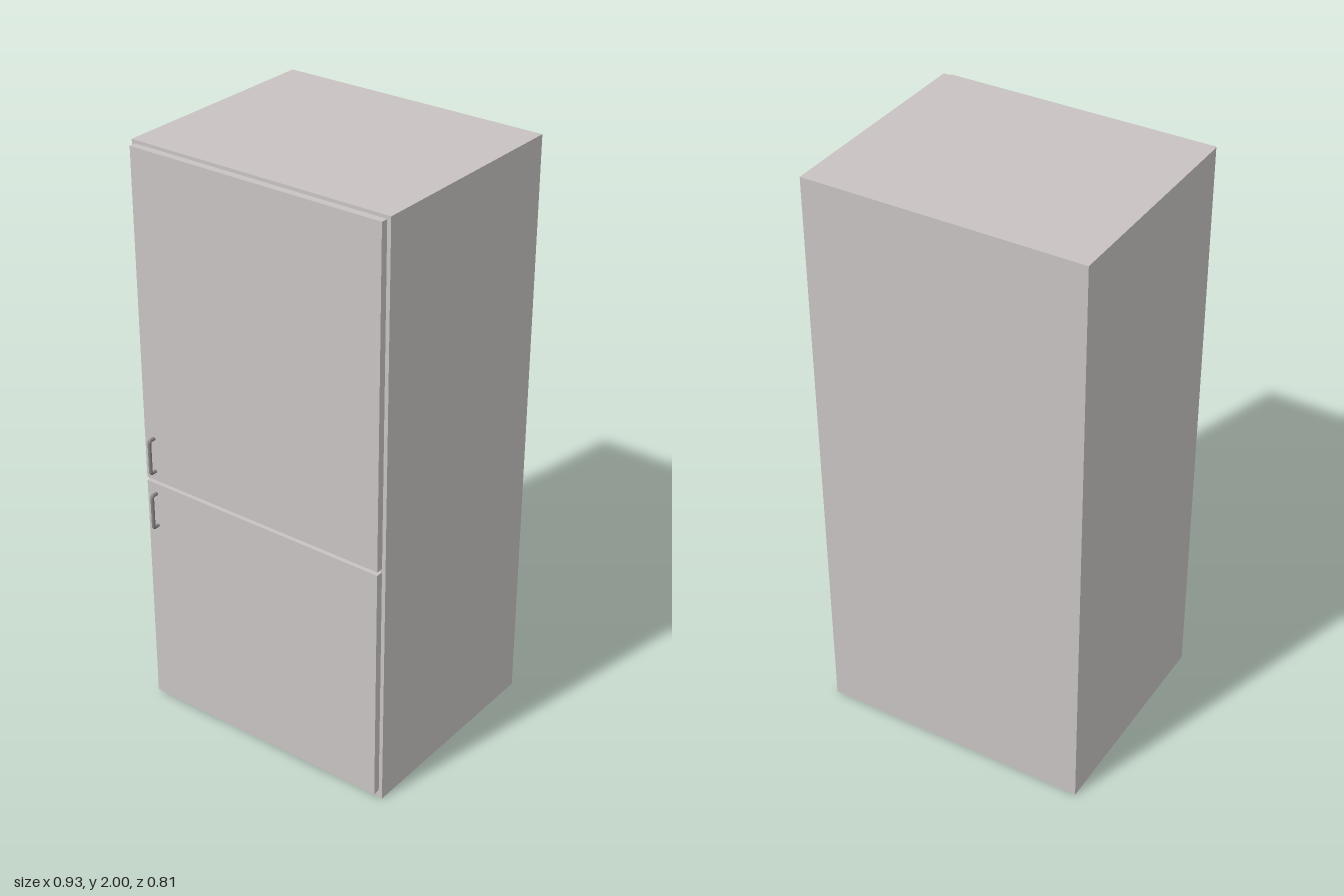
import * as THREE from 'three';

const bodyPaint = new THREE.MeshStandardMaterial({ color: 0xc8c3c2 });
bodyPaint.name = 'warm light grey';
const handleMetal = new THREE.MeshStandardMaterial({ color: 0x858383 });
handleMetal.name = 'handle grey';

// Box given by its minimum and maximum corners
function boxBetween(name, [x0, y0, z0], [x1, y1, z1]) {
  const mesh = new THREE.Mesh(new THREE.BoxGeometry(x1 - x0, y1 - y0, z1 - z0), bodyPaint);
  mesh.position.set((x0 + x1) / 2, (y0 + y1) / 2, (z0 + z1) / 2);
  mesh.name = name;
  return mesh;
}

// Round bar bent into a bracket, standing off the door face
function barHandle(name, x, y0, y1, zDoor) {
  const radius = 0.006, bend = 0.008;
  const zIn = zDoor - 0.004, zOut = 0.405 - radius;
  const low = y0 + radius, high = y1 - radius;
  const p = (y, z) => new THREE.Vector3(x, y, z);
  const path = new THREE.CurvePath();
  path.add(new THREE.LineCurve3(p(low, zIn), p(low, zOut - bend)));
  path.add(new THREE.QuadraticBezierCurve3(p(low, zOut - bend), p(low, zOut), p(low + bend, zOut)));
  path.add(new THREE.LineCurve3(p(low + bend, zOut), p(high - bend, zOut)));
  path.add(new THREE.QuadraticBezierCurve3(p(high - bend, zOut), p(high, zOut), p(high, zOut - bend)));
  path.add(new THREE.LineCurve3(p(high, zOut - bend), p(high, zIn)));
  const mesh = new THREE.Mesh(new THREE.TubeGeometry(path, 96, radius, 12), handleMetal);
  mesh.name = name;
  return mesh;
}

export function createModel() {
  const fridge = new THREE.Group();
  fridge.name = 'refrigerator';
  const zFront = 0.353, zDoor = 0.377;

  // Cabinet
  fridge.add(boxBetween('cabinet', [-0.467, 0, -0.405], [0.467, 2, zFront]));

  // Doors, each with its handle on the model's right
  const doors = [
    { name: 'upper', y: [0.867, 1.989], grip: [0.895, 1.026] },
    { name: 'lower', y: [0.027, 0.855], grip: [0.693, 0.824] },
  ];
  for (const { name, y, grip } of doors) {
    fridge.add(boxBetween(name + 'Door', [-0.454, y[0], zFront], [0.454, y[1], zDoor]));
    fridge.add(barHandle(name + 'Handle', -0.417, grip[0], grip[1], zDoor));
  }
  return fridge;
}
